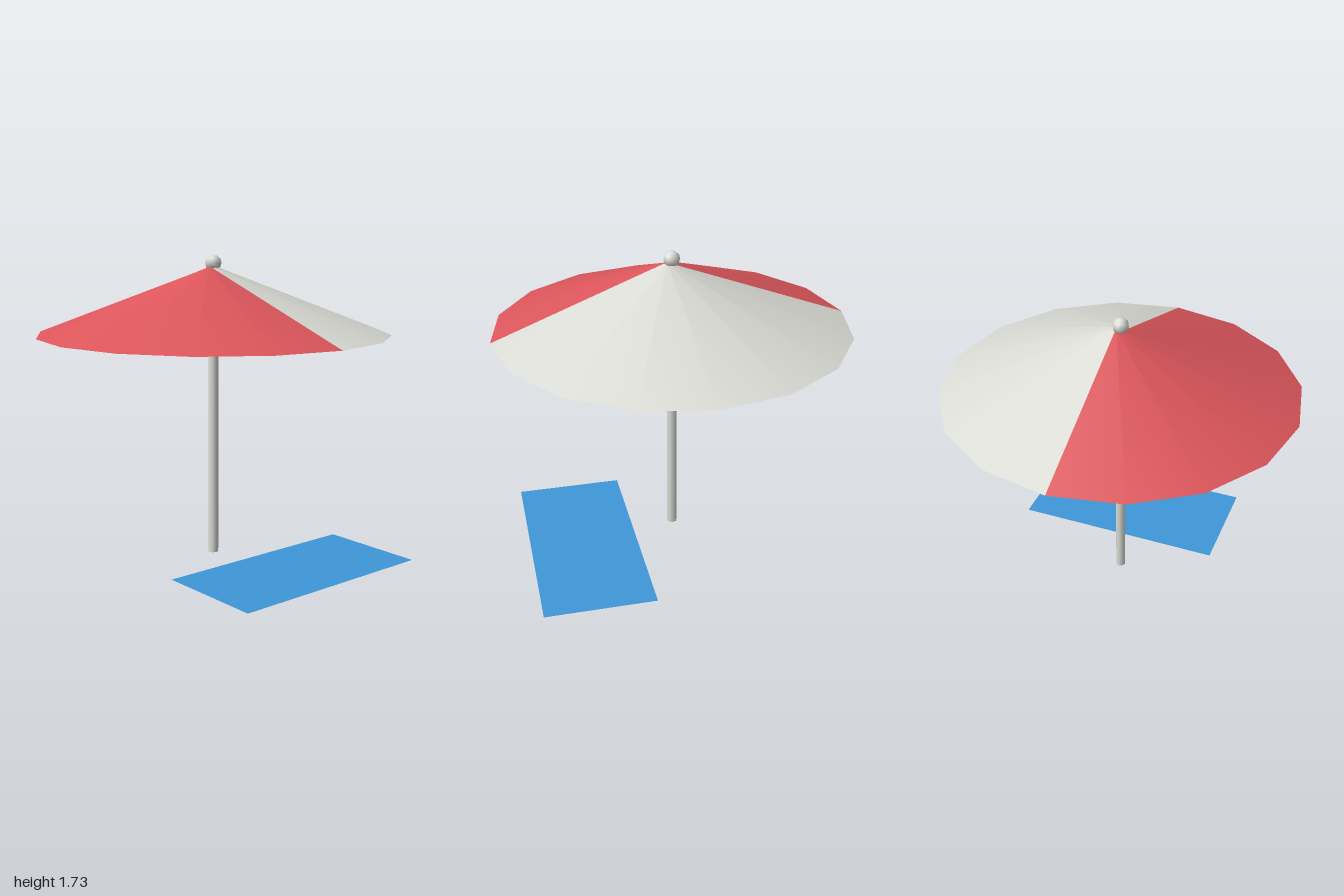
import * as THREE from 'three';

const mat = (name, color, side = THREE.FrontSide) => {
  const m = new THREE.MeshStandardMaterial({ color, side });
  m.name = name;
  return m;
};

export function createModel() {
  const red = mat('red canvas', 0xdc565b, THREE.DoubleSide);
  const white = mat('off white', 0xdcdcd6, THREE.DoubleSide);
  const blue = mat('towel blue', 0x3f98d8, THREE.DoubleSide);
  const group = new THREE.Group();
  group.name = 'beachUmbrella';

  const add = (name, geometry, material, x, y, z) => {
    const mesh = new THREE.Mesh(geometry, material);
    mesh.name = name;
    mesh.position.set(x, y, z);
    group.add(mesh);
    return mesh;
  };

  // Canopy: sixteen-sided cone, back half white, front half and underside red
  const sides = 16, rim = 1.285, peak = 1.66, height = peak - rim;
  const canopy = new THREE.CylinderGeometry(0.025, 0.997, height, sides, 1, false, Math.PI / 2);
  // The tiny ring at the peak is twisted a quarter turn against the rim
  const p = canopy.attributes.position;
  for (let i = 0; i < p.count; i++) {
    if (p.getY(i) > 0) p.setXYZ(i, -p.getZ(i), p.getY(i), p.getX(i));
  }
  const half = sides * 3;
  canopy.clearGroups();
  canopy.addGroup(0, half, 0);          // back half
  canopy.addGroup(half, half, 1);       // front half
  canopy.addGroup(2 * half, half, 0);   // peak cap
  canopy.addGroup(3 * half, half, 1);   // underside
  add('canopy', canopy, [white, red], 0, rim + height / 2, 0);

  // Pole and ball on top
  add('pole', new THREE.CylinderGeometry(0.029, 0.029, 1.64, 8), white, 0, 0.82, 0);
  add('finial', new THREE.SphereGeometry(0.046, 8, 6), white, 0, 1.68, 0);

  // Towel lying on the ground beside the pole
  const towel = new THREE.PlaneGeometry(0.62, 1.25).rotateX(-Math.PI / 2);
  add('towel', towel, blue, 0.56, 0.01, -0.125);

  return group;
}
